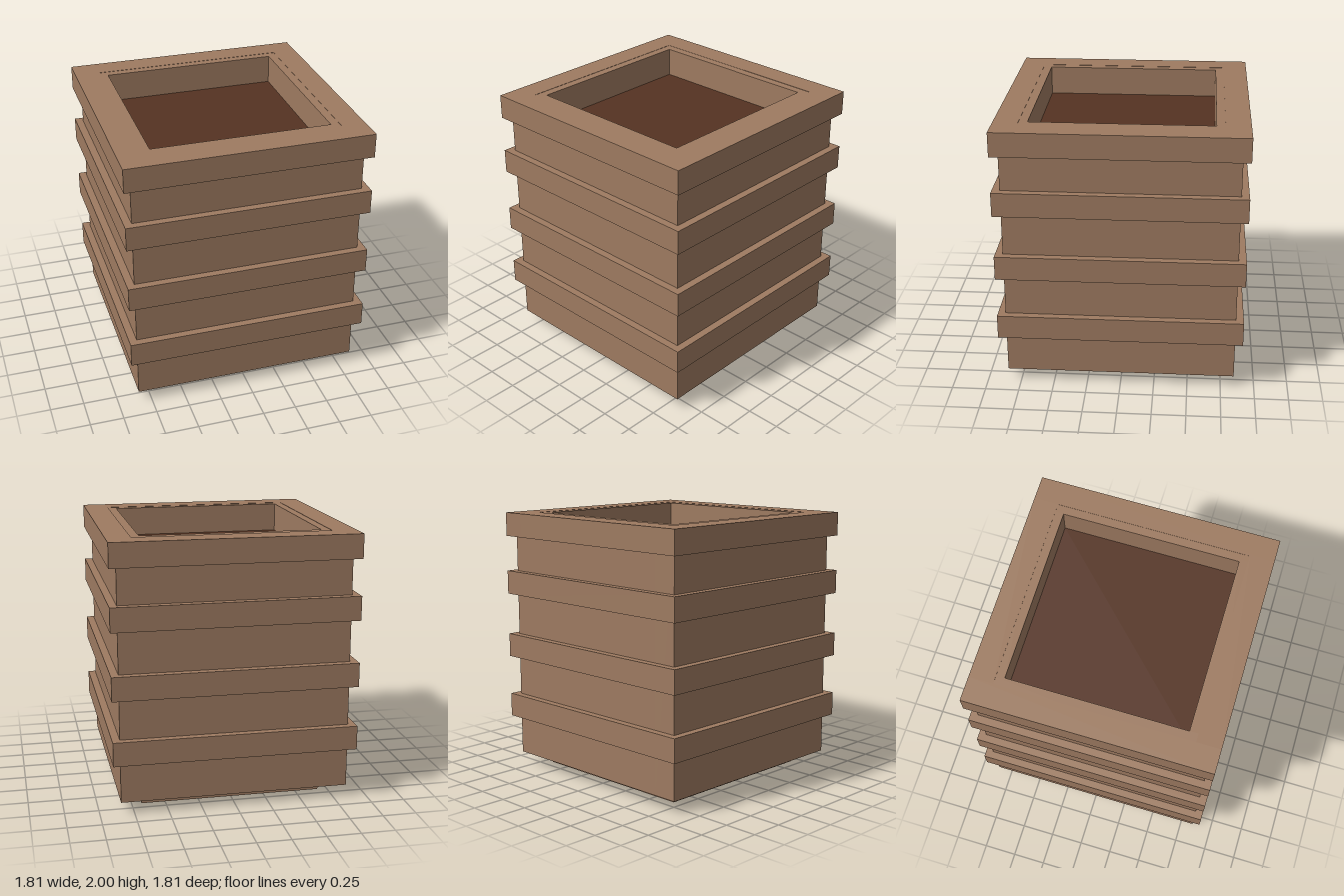
import * as THREE from 'three';

const wood = new THREE.MeshStandardMaterial({ color: 0x9e7b61 });
wood.name = 'wood';
const soilBrown = new THREE.MeshStandardMaterial({ color: 0x553322 });
soilBrown.name = 'soil brown';

const OUTER = 0.847, INNER = 0.66;   // half widths of the tub walls
const BAND = 0.903, BEAM = 0.18;     // band half width and beam thickness

// Box standing on y0
function box(name, w, h, d, x, y0, z, material = wood) {
  const mesh = new THREE.Mesh(new THREE.BoxGeometry(w, h, d), material);
  mesh.name = name;
  mesh.position.set(x, y0 + h / 2, z);
  return mesh;
}

// Four butted boards forming a square ring; side boards run the full depth
function ring(name, half, thick, y0, y1) {
  const group = new THREE.Group();
  group.name = name;
  const h = y1 - y0, c = half - thick / 2;
  for (const s of [-1, 1]) {
    group.add(box(s > 0 ? 'leftBoard' : 'rightBoard', thick, h, half * 2, s * c, y0, 0));
    group.add(box(s > 0 ? 'frontBoard' : 'backBoard', (half - thick) * 2, h, thick, 0, y0, s * c));
  }
  return group;
}

export function createModel() {
  const planter = new THREE.Group();
  planter.name = 'planter';

  // Recessed foot, closing the bottom of the tub
  planter.add(box('foot', 1.355, 0.12, 1.355, 0, 0, 0));

  // Tub walls, just below the top of the rim
  planter.add(ring('walls', OUTER, OUTER - INNER, 0.09, 1.998));

  // Raised bands, the last one forming the rim
  [0.39, 0.873, 1.37, 1.82].forEach((y, i) => {
    planter.add(ring(i === 3 ? 'rim' : 'band' + (i + 1), BAND, BEAM, y, y + 0.18));
  });

  // Soil filling
  planter.add(box('soil', INNER * 2, 0.1, INNER * 2, 0, 1.68, 0, soilBrown));

  return planter;
}
